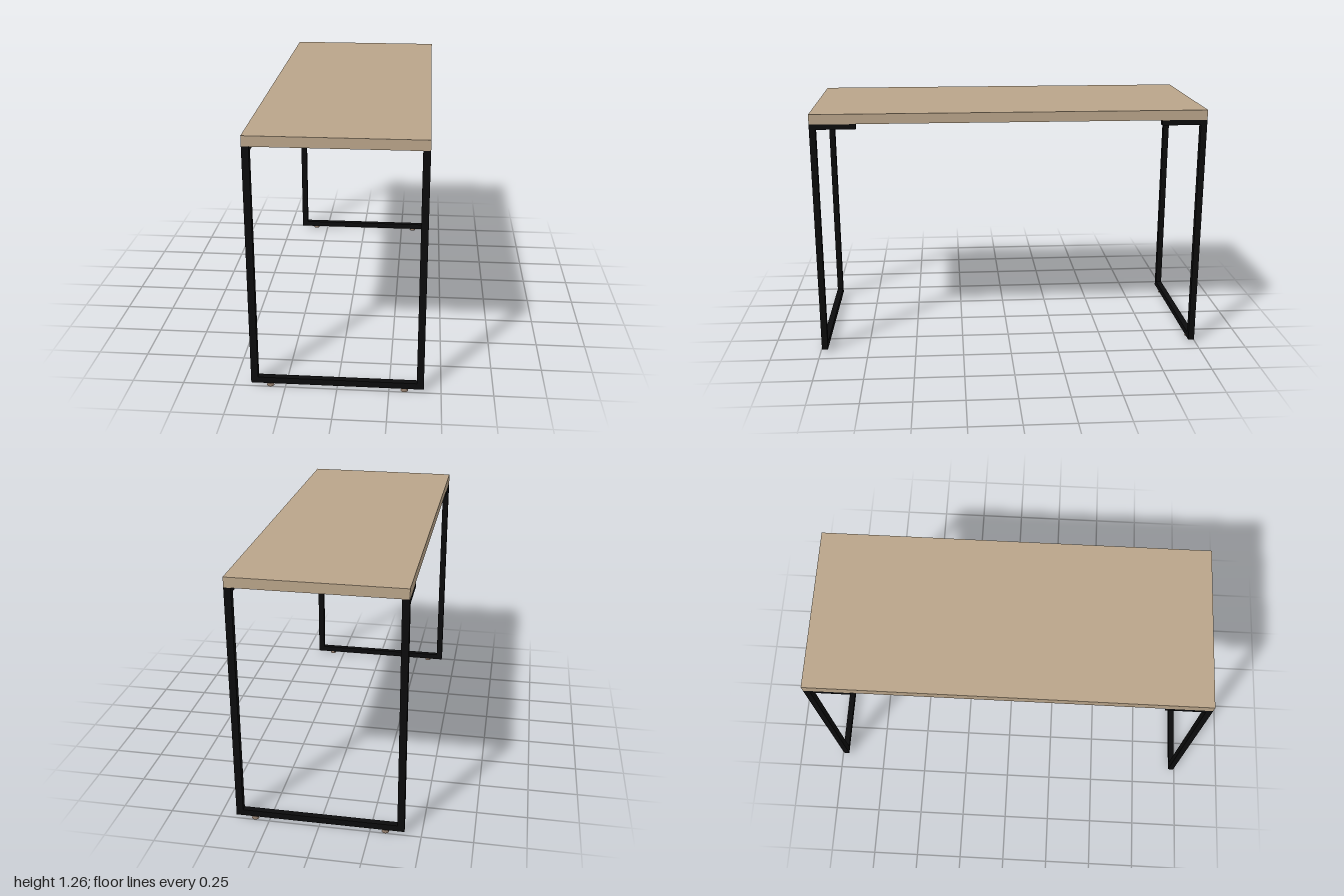
import * as THREE from 'three';

const wood = new THREE.MeshStandardMaterial({ name: 'wood', color: 0xb9a489 });
const blackSteel = new THREE.MeshStandardMaterial({ name: 'blackSteel', color: 0x0b0b0c });
const footGlide = new THREE.MeshStandardMaterial({ name: 'footGlide', color: 0x8c7868 });

const HALF_W = 0.417, HALF_L = 0.993; // tabletop half sizes
const TOP_Y = 1.215, TOP_T = 0.05;    // underside height and thickness
const TUBE_X = 0.034, TUBE_Z = 0.031; // steel tube section
const FOOT_H = 0.014;

function box(name, size, position, material) {
  const mesh = new THREE.Mesh(new THREE.BoxGeometry(...size), material);
  mesh.name = name;
  mesh.position.set(...position);
  return mesh;
}

// One end frame: two legs, a floor bar, mounting arms and feet
function endFrame(name, side) {
  const frame = new THREE.Group();
  frame.name = name;
  const z = side * (HALF_L - TUBE_Z / 2);
  const legX = HALF_W - TUBE_X / 2;
  const legH = TOP_Y - FOOT_H;
  const armL = 0.197, armH = 0.026;

  frame.add(box('floorBar', [2 * (HALF_W - TUBE_X), 0.031, TUBE_Z], [0, FOOT_H + 0.0155, z], blackSteel));

  for (const s of [-1, 1]) {
    frame.add(box('leg', [TUBE_X, legH, TUBE_Z], [s * legX, FOOT_H + legH / 2, z], blackSteel));

    // Arm running inward under the tabletop
    const armZ = side * (HALF_L - TUBE_Z - armL / 2);
    frame.add(box('mountingArm', [TUBE_X, armH, armL], [s * legX, TOP_Y - armH / 2, armZ], blackSteel));

    // Round levelling foot
    const foot = new THREE.Mesh(new THREE.CylinderGeometry(0.014, 0.018, FOOT_H, 24), footGlide);
    foot.name = 'foot';
    foot.position.set(s * 0.324, FOOT_H / 2, side * 0.982);
    frame.add(foot);
  }
  return frame;
}

export function createModel() {
  const table = new THREE.Group();
  table.name = 'table';
  table.add(box('tabletop', [2 * HALF_W, TOP_T, 2 * HALF_L], [0, TOP_Y + TOP_T / 2, 0], wood));
  table.add(endFrame('frontFrame', 1), endFrame('backFrame', -1));
  return table;
}
